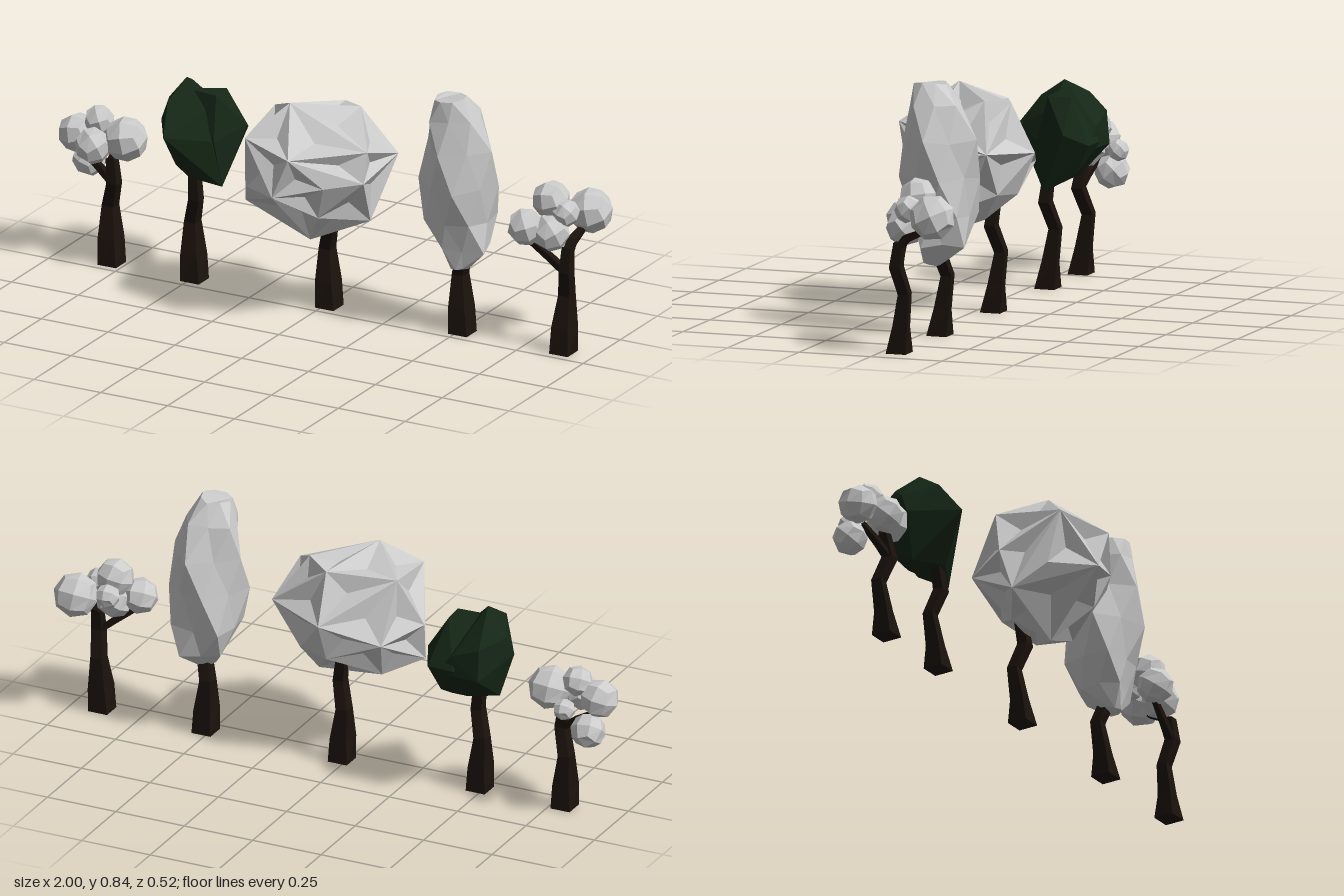
import * as THREE from 'three';
import { ConvexGeometry } from 'three/addons/geometries/ConvexGeometry.js';

const mat = (color) => new THREE.MeshStandardMaterial({ color, flatShading: true, roughness: 0.9 });
const foliage = mat(0xcccccc);
const darkFoliage = mat(0x152716);
const bark = mat(0x1b120c);
const UP = new THREE.Vector3(0, 1, 0);

// Repeatable value in -1..1 for a pair of numbers
function noise(a, b) {
  const s = Math.sin(a * 12.99 + b * 78.23 + 39.02) * 4375.85;
  return (s - Math.floor(s)) * 2 - 1;
}

function mesh(name, geometry, material) {
  const m = new THREE.Mesh(geometry, material);
  m.name = name;
  return m;
}

// Capped skin over polygon rings; each ring is [x, y, z, radius, pinch of every second corner]
function loft(rings, sides, { start = 0, twist = 0, rough = 0, level = false } = {}) {
  const pts = rings.map((r) => new THREE.Vector3(r[0], r[1], r[2]));
  const pos = [], idx = [];
  const last = rings.length - 1;
  const q = new THREE.Quaternion();
  pts.forEach((p, i) => {
    const along = pts[Math.min(i + 1, last)].clone().sub(pts[Math.max(i - 1, 0)]).normalize();
    q.setFromUnitVectors(UP, i === 0 || level ? UP : along);
    const [, , , radius, pinch = 1] = rings[i];
    for (let s = 0; s < sides; s++) {
      const a = start + i * twist + (s / sides) * Math.PI * 2;
      const r = radius * (1 + rough * noise(i, s)) * (s % 2 ? pinch : 1);
      const v = new THREE.Vector3(Math.cos(a) * r, rough * 0.12 * noise(s, i + 9), -Math.sin(a) * r);
      v.applyQuaternion(q).add(p);
      pos.push(v.x, v.y, v.z);
    }
  });
  for (let i = 0; i < last; i++) {
    for (let s = 0; s < sides; s++) {
      const a = i * sides + s, b = i * sides + (s + 1) % sides;
      idx.push(a, b, b + sides, a, b + sides, a + sides);
    }
  }
  for (let s = 1; s < sides - 1; s++) {
    const t = last * sides;
    idx.push(0, s + 1, s, t, t + s, t + s + 1);
  }
  const g = new THREE.BufferGeometry();
  g.setAttribute('position', new THREE.Float32BufferAttribute(pos, 3));
  g.setIndex(idx);
  g.computeVertexNormals();
  return g;
}

const square = { start: Math.PI / 4 };

// Crooked four-sided trunk; lean gives the x shift at the two kinks and the top
function trunk(x, lean, top) {
  return mesh('trunk', loft([
    [x, 0.003, -0.06, 0.049],
    [x + lean[0] * 0.4, 0.09, -0.067, 0.046, 0.7],
    [x + lean[0], 0.2, -0.08, 0.03, 0.85],
    [x + lean[1], 0.29, -0.055, 0.027],
    [x + lean[2], top, -0.066, 0.022],
  ], 4, square), bark);
}

// Ball of 24 flat quads, from a subdivided cube
const ballGeometry = new THREE.BoxGeometry(2, 2, 2, 2, 2, 2);
{
  const p = ballGeometry.attributes.position, v = new THREE.Vector3();
  for (let i = 0; i < p.count; i++) {
    v.fromBufferAttribute(p, i).normalize();
    p.setXYZ(i, v.x, v.y, v.z);
  }
  ballGeometry.computeVertexNormals();
}

// Tree with a forked trunk and ball clusters
function clusterTree(name, x, lean, branches, balls) {
  const g = new THREE.Group();
  g.name = name;
  g.add(trunk(x, lean, 0.37));
  branches.forEach((b) => g.add(mesh('branch', loft(b, 4, square), bark)));
  balls.forEach(([bx, by, bz, r], i) => {
    const b = mesh('leafBall', ballGeometry, foliage);
    b.position.set(bx, by, bz);
    b.scale.setScalar(r * 1.04);
    b.rotation.set(0.25 + i * 0.2, 0.3 * i, 0.2 - i * 0.13);
    g.add(b);
  });
  return g;
}

const hull = (points) => new ConvexGeometry(points.map((p) => new THREE.Vector3(...p)));

// Push a dent into the middle of every large face
function dent(geometry, minArea, depth) {
  const p = geometry.attributes.position, pos = [];
  const tri = new THREE.Triangle(), mid = new THREE.Vector3(), n = new THREE.Vector3();
  for (let i = 0; i < p.count; i += 3) {
    tri.setFromAttributeAndIndices(p, i, i + 1, i + 2);
    const { a, b, c } = tri;
    tri.getMidpoint(mid);
    tri.getNormal(n);
    mid.addScaledVector(n, -depth);
    const faces = tri.getArea() > minArea ? [a, b, mid, b, c, mid, c, a, mid] : [a, b, c];
    faces.forEach((v) => pos.push(v.x, v.y, v.z));
  }
  const g = new THREE.BufferGeometry();
  g.setAttribute('position', new THREE.Float32BufferAttribute(pos, 3));
  g.computeVertexNormals();
  return g;
}

function plainTree(name, x, lean, top, crowns) {
  const g = new THREE.Group();
  g.name = name;
  g.add(trunk(x, lean, top), ...crowns);
  return g;
}

export function createModel() {
  const model = new THREE.Group();
  model.name = 'treeRow';
  const lean = [-0.018, 0.008, -0.004];

  // Cluster tree at the right end
  model.add(clusterTree('rightClusterTree', -0.797, [-0.016, 0.012, -0.002], [
    [[-0.785, 0.285, -0.057, 0.022], [-0.84, 0.325, -0.065, 0.016], [-0.91, 0.37, -0.08, 0.012]],
    [[-0.799, 0.36, -0.066, 0.02], [-0.79, 0.39, -0.075, 0.017], [-0.76, 0.44, -0.085, 0.012]],
  ], [
    [-0.935, 0.43, -0.08, 0.064], [-0.757, 0.437, -0.085, 0.072], [-0.86, 0.482, -0.09, 0.05],
    [-0.85, 0.415, -0.03, 0.06], [-0.915, 0.328, -0.125, 0.057], [-0.85, 0.41, -0.17, 0.036],
  ]));

  // Dark tree: two overlapping angular lobes with a notch behind the peaks
  model.add(plainTree('darkTree', -0.487, lean, 0.4, [
    mesh('darkCrown', hull([
      [-0.538, 0.69, -0.1], [-0.56, 0.65, -0.18], [-0.57, 0.59, -0.235], [-0.57, 0.48, -0.245],
      [-0.615, 0.6, -0.12], [-0.628, 0.53, -0.09], [-0.58, 0.375, -0.1], [-0.535, 0.53, 0.065],
      [-0.56, 0.63, -0.01], [-0.42, 0.5, -0.05], [-0.45, 0.6, -0.08], [-0.47, 0.55, -0.235],
      [-0.395, 0.338, -0.08], [-0.5, 0.385, -0.17], [-0.41, 0.48, -0.23], [-0.49, 0.37, -0.03],
    ]), darkFoliage),
    mesh('darkCrown', hull([
      [-0.425, 0.65, -0.165], [-0.42, 0.65, -0.085], [-0.35, 0.535, -0.165], [-0.385, 0.5, -0.24],
      [-0.41, 0.5, -0.05], [-0.53, 0.655, -0.09], [-0.48, 0.5, -0.245], [-0.395, 0.338, -0.08],
      [-0.5, 0.42, -0.14], [-0.41, 0.4, -0.19],
    ]), darkFoliage),
  ]));

  // Broad, angular tree in the middle: top, sides, front, back, underside
  const roundHull = hull([
    [-0.05, 0.75, 0.085], [0.13, 0.72, -0.07], [0.04, 0.705, -0.13], [-0.175, 0.68, -0.04],
    [0.243, 0.63, 0.09], [0.245, 0.53, 0.12], [0.243, 0.56, -0.12], [0.21, 0.36, 0.01],
    [-0.245, 0.51, 0.02], [-0.23, 0.37, 0.06], [-0.155, 0.645, 0.2], [-0.17, 0.46, 0.16],
    [0.04, 0.62, 0.262], [-0.02, 0.48, 0.262], [0.14, 0.52, 0.205], [0.1, 0.4, 0.165],
    [-0.165, 0.48, -0.14], [0.03, 0.54, -0.21], [0.03, 0.4, -0.15], [0.14, 0.41, -0.12],
    [0.01, 0.273, 0.055], [-0.11, 0.32, -0.02], [0.1, 0.32, -0.06],
  ]);
  model.add(plainTree('roundTree', 0.017, lean, 0.38, [
    mesh('roundCrown', dent(roundHull, 0.009, 0.025), foliage),
  ]));

  // Tall tree with a twisted, ridged crown
  model.add(plainTree('tallTree', 0.515, lean, 0.37, [
    mesh('twistedCrown', loft([
      [0.52, 0.24, -0.035, 0.03],
      [0.52, 0.31, -0.07, 0.095, 0.85],
      [0.505, 0.41, -0.067, 0.12, 0.82],
      [0.505, 0.53, -0.06, 0.138, 0.82],
      [0.51, 0.655, -0.058, 0.128, 0.82],
      [0.497, 0.765, -0.043, 0.098, 0.85],
      [0.492, 0.835, -0.02, 0.055],
    ], 8, { twist: -0.42, rough: 0.07, level: true }), foliage),
  ]));

  // Cluster tree at the left end
  model.add(clusterTree('leftClusterTree', 0.893, [0.002, 0.014, 0.014], [
    [[0.905, 0.285, -0.057, 0.022], [0.85, 0.33, -0.05, 0.016], [0.78, 0.38, -0.04, 0.012]],
    [[0.907, 0.355, -0.066, 0.022], [0.909, 0.385, -0.09, 0.019], [0.916, 0.42, -0.17, 0.013]],
  ], [
    [0.825, 0.512, -0.1, 0.062], [0.925, 0.463, -0.188, 0.073], [0.768, 0.428, -0.032, 0.06],
    [0.845, 0.413, -0.063, 0.062], [0.885, 0.48, -0.09, 0.046], [0.82, 0.47, -0.165, 0.04],
  ]));

  return model;
}
